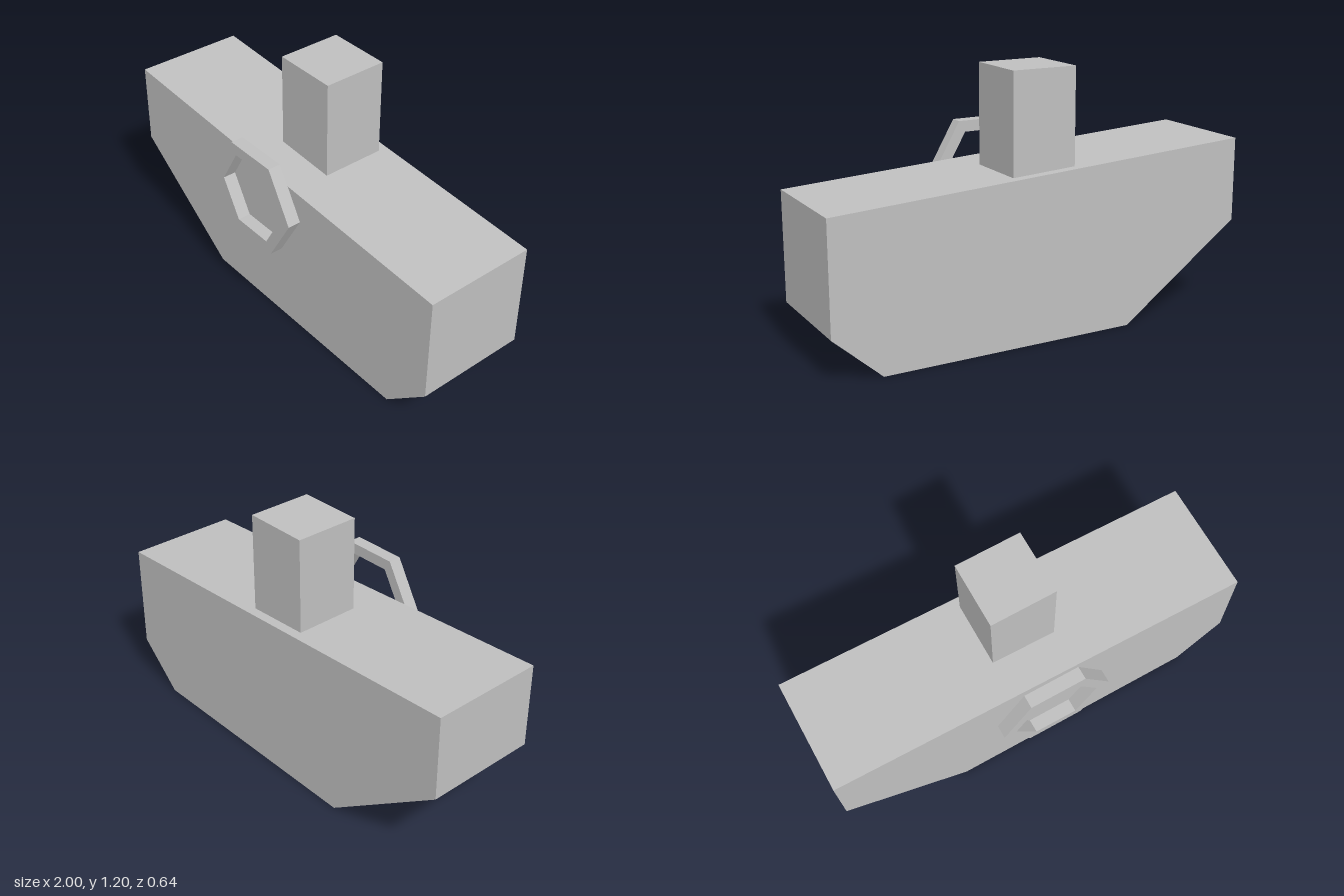
import * as THREE from 'three';

export function createModel() {
  const group = new THREE.Group();
  const grey = new THREE.MeshStandardMaterial({ color: 0xbfbfbf, flatShading: true });
  grey.name = 'grey';

  const add = (name, geometry, x, y, z) => {
    const mesh = new THREE.Mesh(geometry, grey);
    mesh.name = name;
    mesh.position.set(x, y, z);
    group.add(mesh);
  };
  const extrude = (shape, depth) =>
    new THREE.ExtrudeGeometry(shape, { depth, bevelEnabled: false });
  const hexagon = (r) => Array.from({ length: 6 }, (_, i) =>
    new THREE.Vector2(r * Math.cos(i * Math.PI / 3), r * Math.sin(i * Math.PI / 3)));

  // Body: side profile with a sloping top and chamfered lower corners
  const profile = [[-0.415, 0], [0.78, 0], [1, 0.197], [1, 0.695], [-1, 0.807], [-1, 0.418]];
  const bodyShape = new THREE.Shape(profile.map(([x, y]) => new THREE.Vector2(x, y)));
  add('body', extrude(bodyShape, 0.526), 0, 0, -0.32);

  // Block standing on the sloping top
  add('topBlock', new THREE.BoxGeometry(0.304, 0.495, 0.3), 0, 0.9475, -0.125);

  // Hexagonal ring floating just ahead of the front face
  const ringShape = new THREE.Shape(hexagon(0.26));
  ringShape.holes.push(new THREE.Path(hexagon(0.2)));
  add('hexRing', extrude(ringShape, 0.06), 0, 0.67, 0.26);

  return group;
}
